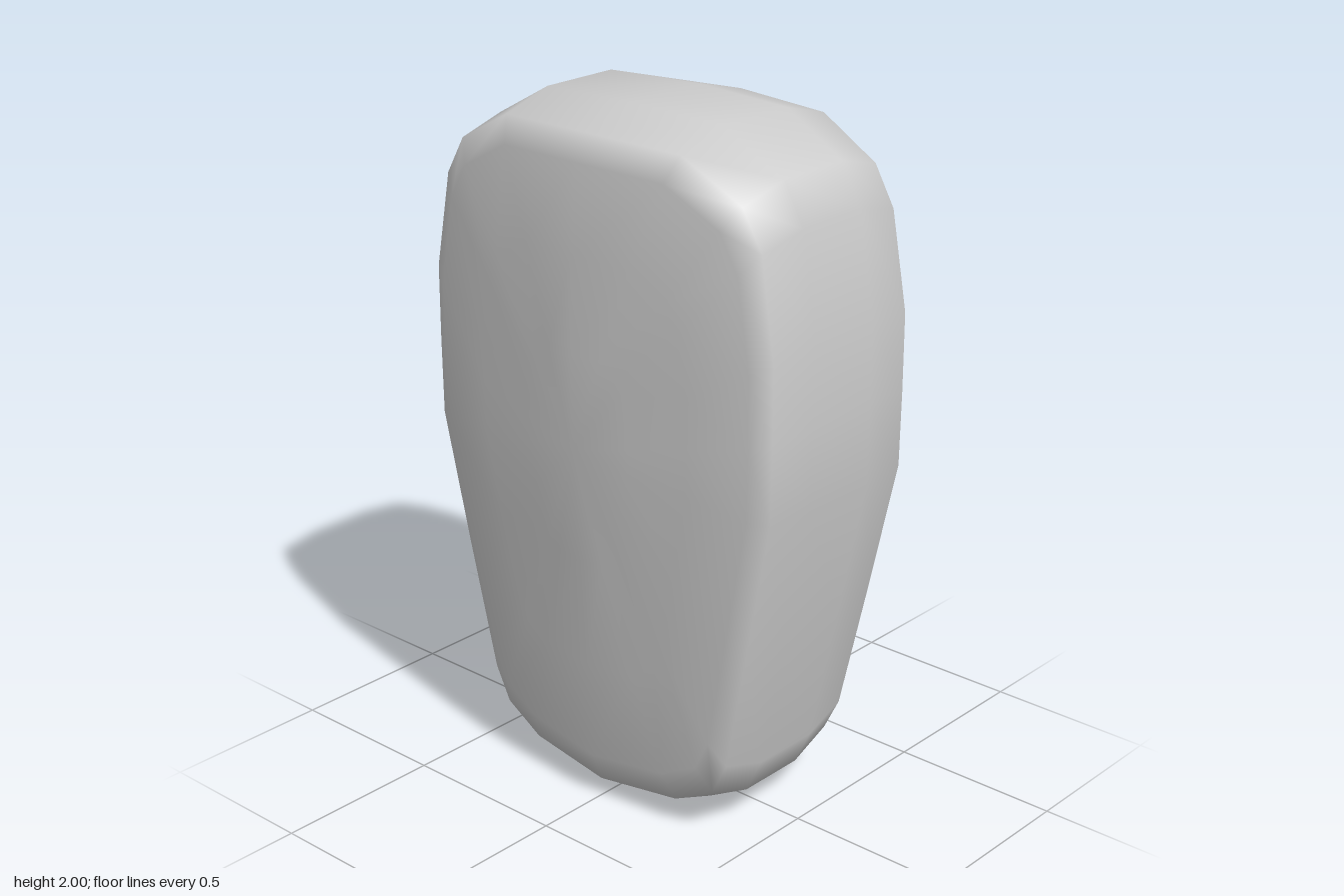
import * as THREE from 'three';
import { mergeVertices } from 'three/addons/utils/BufferGeometryUtils.js';

const MID_Y = 1.1;

// Front half of the side outline as [z, y], from crown to base
const HALF = [
  [0, 2], [0.31, 1.99], [0.5, 1.885], [0.565, 1.77], [0.612, 1.48], [0.613, 1.25], [0.61, 1.02],
  [0.53, 0.61], [0.45, 0.21], [0.4, 0.105], [0.27, 0.035], [0, 0.003],
];
// Half width by height, and its taper towards front and back
const WIDTH = [[0, 0.297], [0.14, 0.305], [1, 0.371], [1.53, 0.371], [1.88, 0.345], [2, 0.335]];
const TAPER = [[0, 1], [0.31, 0.92], [0.55, 0.825], [0.62, 0.8]];

// Rings from the flank's centre out to the rim: [z scale, y scale, share of half width]
const RINGS = [
  [0, 0, 1], [0.3, 0.3, 1], [0.6, 0.6, 1], [0.9, 0.87, 1], [0.985, 0.95, 0.91], [1, 1, 0.4],
];

function sample(table, v) {
  for (let i = 1; i < table.length; i++) {
    const [a, fa] = table[i - 1], [b, fb] = table[i];
    if (v <= b) return THREE.MathUtils.mapLinear(Math.max(v, a), a, b, fa, fb);
  }
  return table[table.length - 1][1];
}

function bodyGeometry() {
  const back = HALF.slice(1, -1).reverse().map(([z, y]) => [-z, y]);
  const outline = [...HALF, ...back];
  const n = outline.length;
  const rings = [
    ...RINGS.map((r) => [...r, 1]),
    ...[...RINGS].reverse().map((r) => [...r, -1]),
  ];
  const positions = [], index = [];

  for (const [sz, sy, share, side] of rings) {
    for (const [oz, oy] of outline) {
      const z = oz * sz, y = MID_Y + (oy - MID_Y) * sy;
      const x = side * share * sample(WIDTH, y) * sample(TAPER, Math.abs(z));
      positions.push(x, y, z);
    }
  }
  for (let i = 0; i < rings.length - 1; i++) {
    for (let j = 0; j < n; j++) {
      const k = (j + 1) % n;
      const a = i * n + j, b = a + n, c = i * n + k, d = c + n;
      // The first and last bands close to a point
      if (i > 0) index.push(a, b, c);
      if (i < rings.length - 2) index.push(b, d, c);
      if (i === 0) index.pop(), index.pop(), index.pop(), index.push(a, b, d);
    }
  }

  let geometry = new THREE.BufferGeometry();
  geometry.setAttribute('position', new THREE.Float32BufferAttribute(positions, 3));
  geometry.setIndex(index);
  geometry = mergeVertices(geometry);
  geometry.computeVertexNormals();
  return geometry;
}

export function createModel() {
  const group = new THREE.Group();
  const body = new THREE.Mesh(bodyGeometry(), new THREE.MeshStandardMaterial({ color: 0xcccccc }));
  body.name = 'roundedBody';
  group.add(body);
  return group;
}
